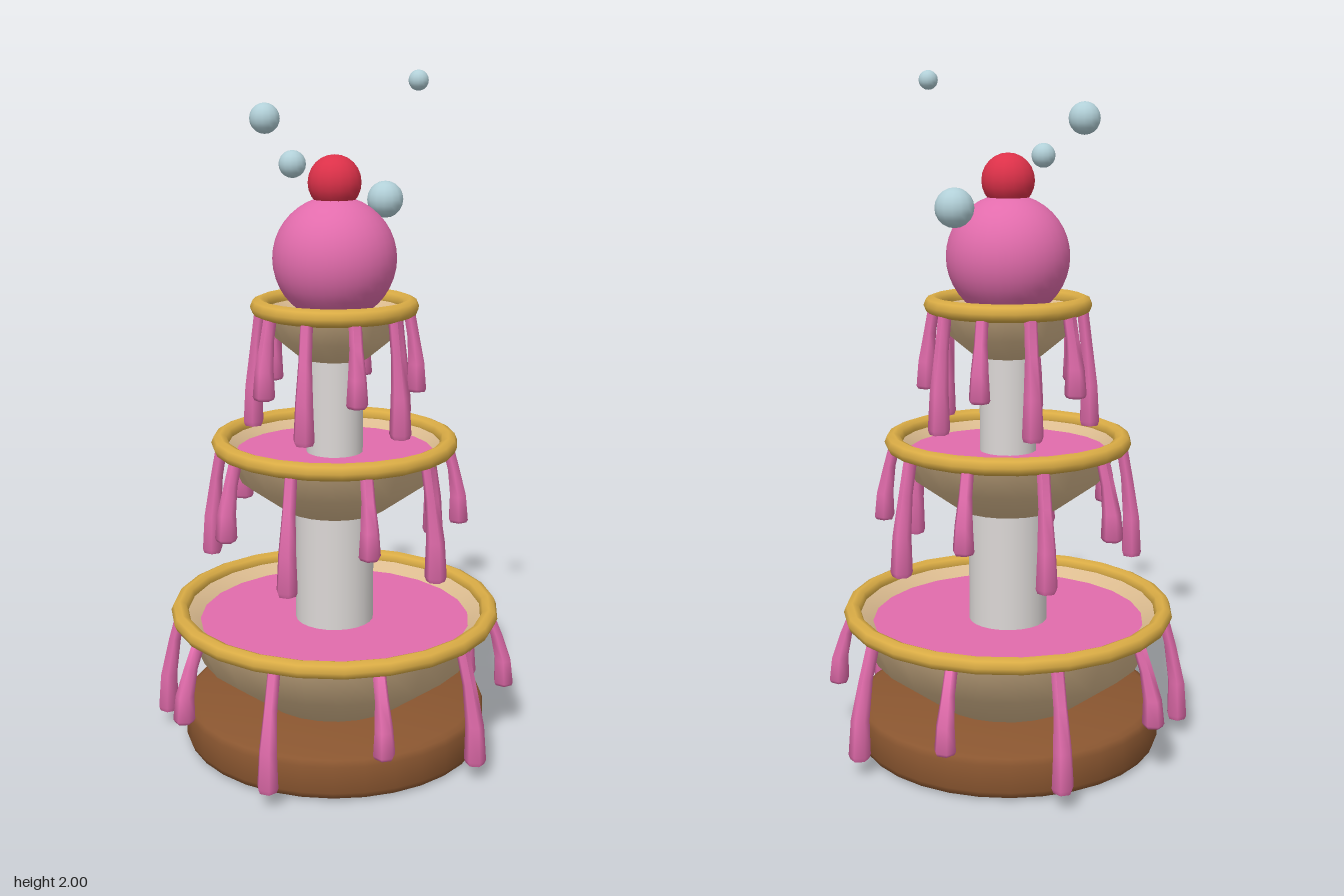
import * as THREE from 'three';
import { toCreasedNormals } from 'three/addons/utils/BufferGeometryUtils.js';

const material = (name, color) => {
  const m = new THREE.MeshStandardMaterial({ color });
  m.name = name;
  return m;
};

export function createModel() {
  const brown = material('chocolate brown', 0x8a5630);
  const tan = material('biscuit tan', 0xdcbc90);
  const gold = material('gold', 0xdaac45);
  const pink = material('pink icing', 0xe26cac);
  const stone = material('pale stone', 0xdcd8d6);
  const red = material('cherry red', 0xdc3149);
  const blue = material('bubble blue', 0xb2d0d8);

  const model = new THREE.Group();
  model.name = 'tieredFountain';

  const add = (parent, name, geometry, mat, x = 0, y = 0, z = 0) => {
    const mesh = new THREE.Mesh(geometry, mat);
    mesh.name = name;
    mesh.position.set(x, y, z);
    parent.add(mesh);
    return mesh;
  };
  const lathe = (points, sides) =>
    new THREE.LatheGeometry(points.map(([x, y]) => new THREE.Vector2(x, y)), sides);

  // Base with softly bevelled edges
  add(model, 'base', toCreasedNormals(lathe([
    [0, 0], [0.435, 0], [0.453, 0.007], [0.46, 0.025],
    [0.46, 0.105], [0.453, 0.123], [0.435, 0.13], [0, 0.13],
  ], 32), 0.9), brown);

  // Six-sided drip, flared at the foot and curving outwards along +x
  const dripGeometry = (length, lean) => {
    const g = lathe([
      [0, -1], [0.027, -1], [0.032, -0.96], [0.027, -0.65],
      [0.02, -0.3], [0.019, 0], [0, 0],
    ], 6);
    const p = g.attributes.position;
    for (let i = 0; i < p.count; i++) {
      const t = -p.getY(i);
      p.setX(i, p.getX(i) + lean * Math.sin(Math.min(1, t * 1.15) * Math.PI / 2));
      p.setY(i, -t * length);
    }
    return toCreasedNormals(g, 1.2);
  };

  // Tiers: ring radius and height, bowl profile, pool radius, drip ends and lean
  const tiers = [
    { r: 0.472, y: 0.405, bowl: [[0.22, 0.125], [0.41, 0.27], [0.46, 0.385]],
      pool: 0.41, ends: [0.05, 0.16], lean: 0.053 },
    { r: 0.34, y: 0.93, bowl: [[0.155, 0.73], [0.285, 0.825], [0.328, 0.915]],
      pool: 0.295, ends: [0.575, 0.685], lean: 0.035 },
    { r: 0.22, y: 1.335, bowl: [[0.1, 1.185], [0.178, 1.25], [0.208, 1.32]],
      pool: 0.18, ends: [0.976, 1.085], lean: 0.024 },
  ];

  tiers.forEach(({ r, y, bowl, pool, ends, lean }, n) => {
    const tier = new THREE.Group();
    tier.name = `tier${n + 1}`;
    model.add(tier);

    // Bowl with an inner lip sloping down to the pool
    add(tier, 'bowl', lathe([
      [0, bowl[0][1]], ...bowl, [r, y], [r - 0.02, y], [pool, y - 0.035], [pool - 0.02, y - 0.05],
    ], 24), tan);
    add(tier, 'pool', new THREE.CylinderGeometry(pool, pool - 0.02, 0.02, 24), pink, 0, y - 0.04);

    const rim = new THREE.TorusGeometry(r, 0.026, 8, 24).rotateX(Math.PI / 2);
    add(tier, 'rim', rim, gold, 0, y);

    // Ten drips, alternately long and short
    const top = y - 0.015;
    const shapes = ends.map((end) => dripGeometry(top - end, lean));
    for (let i = 0; i < 10; i++) {
      const a = i * Math.PI / 5;
      const start = r - 0.003;
      const drip = add(tier, 'drip', shapes[i % 2], pink,
        Math.cos(a) * start, top, -Math.sin(a) * start);
      drip.rotation.y = a;
    }
  });

  // Columns between the tiers
  const column = (name, r, y0, y1) =>
    add(model, name, new THREE.CylinderGeometry(r, r, y1 - y0, 24), stone, 0, (y0 + y1) / 2);
  column('lowerColumn', 0.118, 0.34, 0.75);
  column('upperColumn', 0.084, 0.86, 1.2);

  // Scoop and cherry
  add(model, 'scoop', new THREE.SphereGeometry(0.18, 32, 20), pink, 0, 1.472);
  add(model, 'cherry', new THREE.SphereGeometry(0.078, 16, 12), red, 0, 1.69);

  // Floating bubbles
  [
    [0.24, 1.624, -0.09, 0.055],
    [-0.088, 1.863, -0.24, 0.045],
    [-0.22, 1.755, 0.13, 0.037],
    [0.13, 1.972, 0.218, 0.028],
  ].forEach(([x, y, z, r]) =>
    add(model, 'bubble', new THREE.SphereGeometry(r, 14, 10), blue, x, y, z));

  return model;
}
